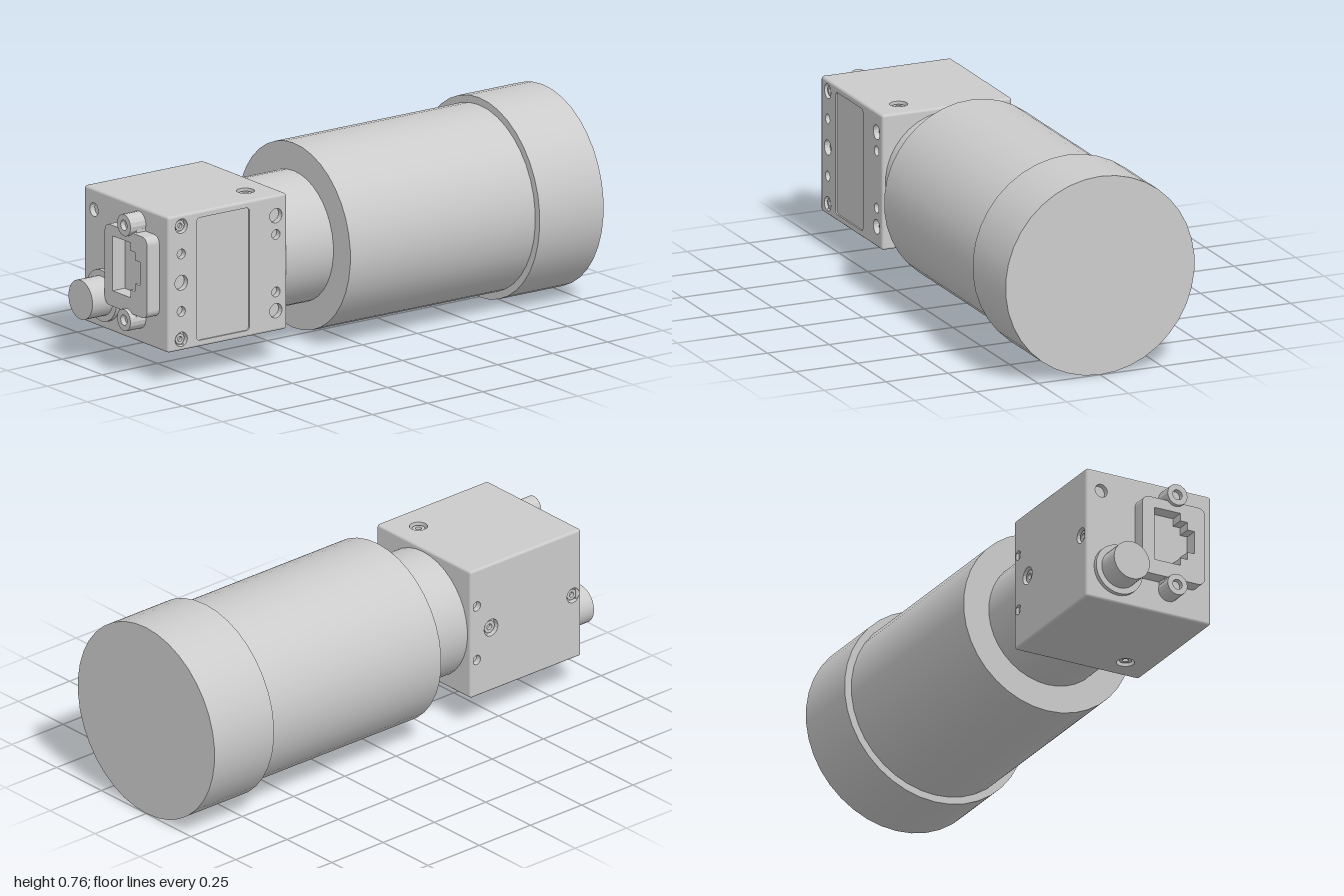
import * as THREE from 'three';

const material = new THREE.MeshStandardMaterial({ color: 0xcccccc });
const AXIS_Y = 0.382;

// Camera body extents
const C = { x: -0.62, y: 0.385, z: -0.0025 };
const S = { x: 0.54, y: 0.52, z: 0.525 };
const EDGE = 0.01, DEPTH = 0.022;

function add(parent, name, geometry, x = 0, y = 0, z = 0) {
  const mesh = new THREE.Mesh(geometry, material);
  mesh.name = name;
  mesh.position.set(x, y, z);
  parent.add(mesh);
  return mesh;
}

// Cylinder lying along x from x0 to x1
function barrel(parent, name, x0, x1, r, y = AXIS_Y, z = 0, sides = 38) {
  const g = new THREE.CylinderGeometry(r, r, x1 - x0, sides, 1, false, Math.PI / 2);
  g.rotateZ(-Math.PI / 2);
  return add(parent, name, g, (x0 + x1) / 2, y, z);
}

function roundedRect(path, x0, y0, x1, y1, r) {
  path.moveTo(x0 + r, y0);
  path.lineTo(x1 - r, y0);
  path.absarc(x1 - r, y0 + r, r, -Math.PI / 2, 0);
  path.lineTo(x1, y1 - r);
  path.absarc(x1 - r, y1 - r, r, 0, Math.PI / 2);
  path.lineTo(x0 + r, y1);
  path.absarc(x0 + r, y1 - r, r, Math.PI / 2, Math.PI);
  path.lineTo(x0, y0 + r);
  path.absarc(x0 + r, y0 + r, r, Math.PI, Math.PI * 1.5);
  return path;
}

const circle = (x, y, r) => new THREE.Path().absarc(x, y, r, 0, Math.PI * 2);
const extrude = (shape, depth) =>
  new THREE.ExtrudeGeometry(shape, { depth, bevelEnabled: false, curveSegments: 8 });

// Drilled wall of the body; holes are [u, v, radius, hasScrew], outward is local +z
function wall(parent, name, w, h, d, holes, rx, ry, cutouts = []) {
  const group = new THREE.Group();
  group.name = name;
  const shape = new THREE.Shape();
  roundedRect(shape, -w / 2 + EDGE, -h / 2 + EDGE, w / 2 - EDGE, h / 2 - EDGE, 0.001);
  shape.holes.push(...cutouts);
  for (const [u, v, r, hasScrew] of holes) {
    shape.holes.push(circle(u, v, r));
    if (!hasScrew) continue;
    const screw = new THREE.Shape().absarc(u, v, r * 0.72, 0, Math.PI * 2);
    screw.holes.push(circle(u, v, r * 0.35));
    add(group, 'screw', extrude(screw, DEPTH * 0.6), 0, 0, d / 2 - DEPTH);
  }
  add(group, 'panel', extrude(shape, DEPTH), 0, 0, d / 2 - DEPTH);
  group.position.set(C.x, C.y, C.z);
  group.rotation.set(rx, ry, 0);
  parent.add(group);
  return group;
}

function buildBody() {
  const body = new THREE.Group();
  body.name = 'cameraBody';
  const d = DEPTH * 2;
  add(body, 'core', new THREE.BoxGeometry(S.x - d, S.y - d, S.z - d), C.x, C.y, C.z);

  // Front wall: two columns of holes and a shallow label recess
  const front = [];
  for (const s of [-1, 1]) {
    front.push([-0.21, s * 0.217, 0.028, true], [-0.21, s * 0.11, 0.019],
      [0.22, s * 0.11, 0.019], [0.22, s * 0.182, 0.028]);
  }
  front.push([-0.21, 0, 0.029]);
  const recess = roundedRect(new THREE.Path(), -0.14, -0.235, 0.1, 0.235, 0.015);
  const frontWall = wall(body, 'frontWall', S.x, S.y, S.z, front, 0, 0, [recess]);
  add(frontWall, 'labelRecess', new THREE.BoxGeometry(0.25, 0.48, 0.014), -0.02, 0, S.z / 2 - 0.013);

  // Remaining walls
  const back = [[-0.17, 0, 0.034, true], [0.23, 0, 0.03, true], [-0.24, 0.11, 0.019], [-0.24, -0.11, 0.019]];
  wall(body, 'backWall', S.x, S.y, S.z, back, 0, Math.PI);
  wall(body, 'topWall', S.x, S.z, S.y, [[0.165, -0.148, 0.034, true]], -Math.PI / 2, 0);
  wall(body, 'bottomWall', S.x, S.z, S.y, [[0.165, 0.148, 0.034, true]], Math.PI / 2, 0);
  wall(body, 'rearWall', S.z, S.y, S.x, [[-0.2, 0.18, 0.026]], 0, -Math.PI / 2);
  wall(body, 'lensWall', S.z, S.y, S.x, [], 0, Math.PI / 2);

  // Rounded edges and corners
  const h = { x: S.x / 2 - EDGE, y: S.y / 2 - EDGE, z: S.z / 2 - EDGE };
  for (const a of [-1, 1]) for (const b of [-1, 1]) {
    const rod = (len) => new THREE.CylinderGeometry(EDGE, EDGE, len, 12, 1, true);
    add(body, 'edge', rod(h.y * 2), C.x + a * h.x, C.y, C.z + b * h.z);
    add(body, 'edge', rod(h.x * 2).rotateZ(Math.PI / 2), C.x, C.y + a * h.y, C.z + b * h.z);
    add(body, 'edge', rod(h.z * 2).rotateX(Math.PI / 2), C.x + a * h.x, C.y + b * h.y, C.z);
    for (const c of [-1, 1]) {
      add(body, 'corner', new THREE.SphereGeometry(EDGE, 12, 8), C.x + a * h.x, C.y + b * h.y, C.z + c * h.z);
    }
  }
  return body;
}

function buildConnectors() {
  const group = new THREE.Group();
  group.name = 'rearConnectors';

  // Round power connector with collar
  barrel(group, 'powerCollar', -0.907, -0.88, 0.098, 0.255, -0.135, 32);
  barrel(group, 'powerConnector', -1, -0.88, 0.075, 0.255, -0.135, 32);

  // Network socket housing with stepped opening, drawn in (z, y) and turned to face -x
  const housing = roundedRect(new THREE.Shape(), -0.06, 0.25, 0.205, 0.56, 0.03);
  housing.holes.push(new THREE.Path([
    [-0.01, 0.31], [0.1, 0.31], [0.1, 0.34], [0.13, 0.34], [0.13, 0.37], [0.16, 0.37],
    [0.16, 0.46], [0.13, 0.46], [0.13, 0.49], [0.1, 0.49], [0.1, 0.52], [-0.01, 0.52],
  ].map(([u, v]) => new THREE.Vector2(u, v))));
  add(group, 'networkSocket', extrude(housing, 0.06).rotateY(-Math.PI / 2), -0.885);

  // Screw lugs above and below the socket
  for (const y of [0.585, 0.222]) {
    const lug = new THREE.Shape().absarc(0.08, y, 0.042, 0, Math.PI * 2);
    lug.holes.push(circle(0.08, y, 0.02));
    add(group, 'screwLug', extrude(lug, 0.075).rotateY(-Math.PI / 2), -0.885);
    barrel(group, 'lugScrew', -0.94, -0.885, 0.021, y, 0.08, 16);
    add(group, 'lugWeb', new THREE.BoxGeometry(0.05, 0.07, 0.1), -0.907, y + (y > 0.4 ? -0.035 : 0.035), 0.08)
      .scale.set(1, 0.6, 0.8);
  }
  return group;
}

export function createModel() {
  const model = new THREE.Group();
  model.name = 'industrialCamera';
  model.add(buildBody(), buildConnectors());

  // Lens
  const lens = new THREE.Group();
  lens.name = 'lens';
  barrel(lens, 'lensMount', -0.36, -0.13, 0.248);
  barrel(lens, 'lensBarrel', -0.13, 0.71, 0.354);
  barrel(lens, 'lensHood', 0.71, 1, 0.382);
  model.add(lens);
  return model;
}
